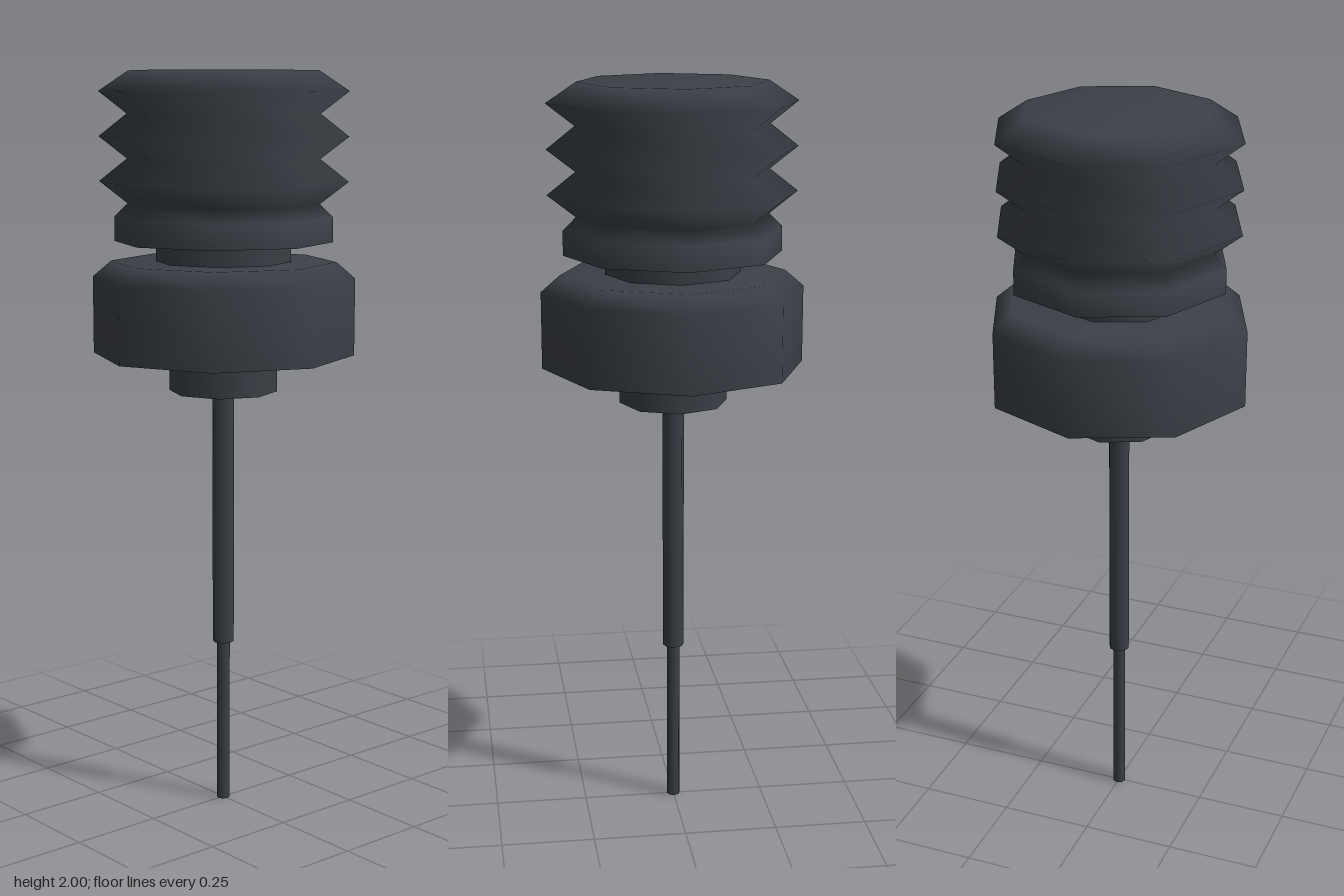
import * as THREE from 'three';

const SIDES = 8;

export function createModel() {
  const model = new THREE.Group();
  const darkPlastic = new THREE.MeshStandardMaterial({ color: 0x3b4047 });
  darkPlastic.name = 'darkPlastic';

  // Eight-sided turned part; each profile runs bottom to top as [radius, y].
  // Separate profiles keep a hard edge where they meet.
  function turned(name, ...profiles) {
    const part = new THREE.Group();
    part.name = name;
    profiles.forEach((profile, i) => {
      const points = profile.map(([r, y]) => new THREE.Vector2(r, y));
      const mesh = new THREE.Mesh(new THREE.LatheGeometry(points, SIDES), darkPlastic);
      mesh.name = `${name}Surface${i + 1}`;
      part.add(mesh);
    });
    model.add(part);
  }

  // Thin tip and thicker shaft
  turned('tip', [[0, 0], [0.018, 0]], [[0.018, 0], [0.018, 0.455]]);
  turned('shaft', [[0, 0.455], [0.029, 0.455]], [[0.029, 0.455], [0.029, 1.155]]);

  // Small boss under the collar
  turned('boss', [[0, 1.155], [0.145, 1.155]], [[0.145, 1.155], [0.145, 1.255]]);

  // Wide collar with a bevelled top
  turned('collar',
    [[0, 1.255], [0.35, 1.255]],
    [[0.35, 1.255], [0.35, 1.46], [0.3, 1.503], [0, 1.503]]);

  // Narrow neck
  turned('neck', [[0.18, 1.5], [0.18, 1.555]]);

  // Ribbed grip: base ring, then three pointed ribs and a flat top
  const ribs = [[0.29, 1.555], [0.29, 1.62], [0.255, 1.655]];
  for (let i = 0; i < 3; i++) {
    const y = 1.655 + i * 0.117;
    ribs.push([0.33, y + 0.058]);
    ribs.push(i < 2 ? [0.255, y + 0.117] : [0.25, 2]);
  }
  ribs.push([0, 2]);
  turned('ribbedGrip', [[0, 1.555], [0.29, 1.555]], ribs);

  return model;
}
